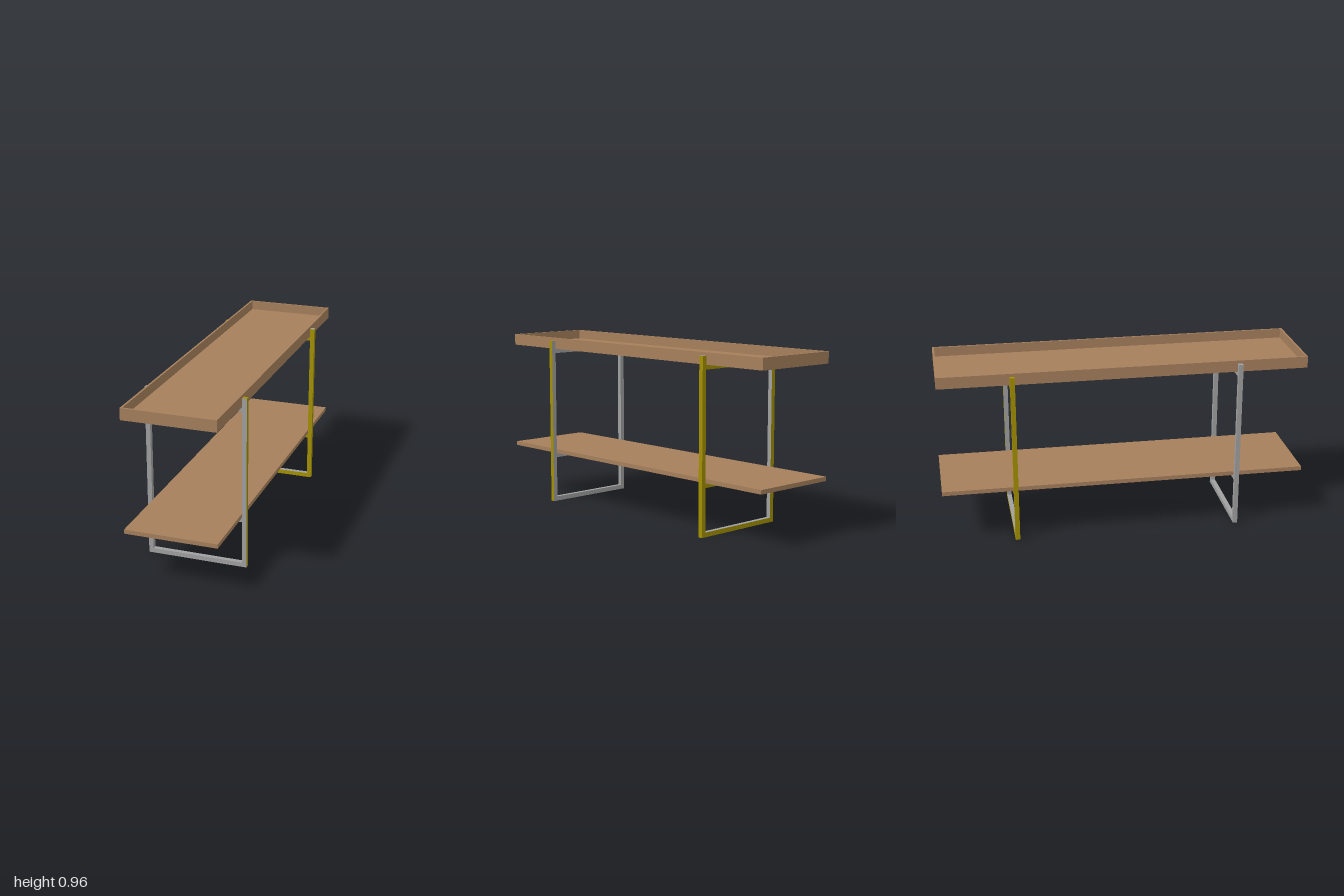
import * as THREE from 'three';

export function createModel() {
  const model = new THREE.Group();
  model.name = 'consoleTable';

  const make = (name, color) => {
    const m = new THREE.MeshStandardMaterial({ color });
    m.name = name;
    return m;
  };
  const wood = make('wood', 0xa67f5b);
  const steel = make('steel', 0xa0a0a0);
  const brass = make('brass', 0xa39000);

  // Box given by its min and max corners
  function box(parent, name, min, max, material) {
    const size = max.map((v, i) => v - min[i]);
    const mesh = new THREE.Mesh(new THREE.BoxGeometry(...size), material);
    mesh.position.set(...max.map((v, i) => (v + min[i]) / 2));
    mesh.name = name;
    parent.add(mesh);
  }

  const halfW = 0.25, bar = 0.025;

  // Tray top: thin floor with a raised rim
  const tray = new THREE.Group();
  tray.name = 'trayTop';
  model.add(tray);
  const y0 = 0.897, y1 = 0.96, rim = 0.011;
  box(tray, 'trayFloor', [-halfW, y0, -1], [halfW, y0 + 0.011, 1], wood);
  for (const s of [-1, 1]) {
    const xa = s * halfW, xb = s * (halfW - rim);
    box(tray, 'traySide', [Math.min(xa, xb), y0 + 0.011, -1], [Math.max(xa, xb), y1, 1], wood);
    const za = s, zb = s * (1 - rim);
    box(tray, 'trayEnd', [rim - halfW, y0 + 0.011, Math.min(za, zb)],
      [halfW - rim, y1, Math.max(za, zb)], wood);
  }

  // Lower shelf
  box(model, 'shelf', [-halfW, 0.285, -1], [halfW, 0.308, 1], wood);

  // Leg frames; face materials are listed as +x, -x, top, bottom, +z, -z
  const S = steel, B = brass;
  const frames = [
    { name: 'frontFrame', z: 0.623, right: [B, S, B, B, S, S], left: [S, S, S, B, S, S],
      bars: [[S, S, S, B, S, S], [S, S, S, B, S, S], [S, S, S, S, S, S]] },
    { name: 'backFrame', z: -0.603, right: [B, S, S, B, B, B], left: [S, B, B, B, B, B],
      bars: [[S, S, S, B, B, B], [S, S, S, S, B, B], [S, S, S, S, B, B]] },
  ];
  for (const f of frames) {
    const group = new THREE.Group();
    group.name = f.name;
    model.add(group);
    const za = f.z - bar / 2, zb = f.z + bar / 2;
    box(group, 'leftUpright', [halfW, 0, za], [halfW + bar, 0.943, zb], f.right);
    box(group, 'rightUpright', [-halfW - bar, 0, za], [-halfW, 0.943, zb], f.left);
    // Foot bar, shelf bar and tray bar
    [['footBar', 0], ['shelfBar', 0.26], ['trayBar', 0.872]].forEach(([name, y], i) =>
      box(group, name, [-halfW, y, za], [halfW, y + bar, zb], f.bars[i]));
  }
  return model;
}
